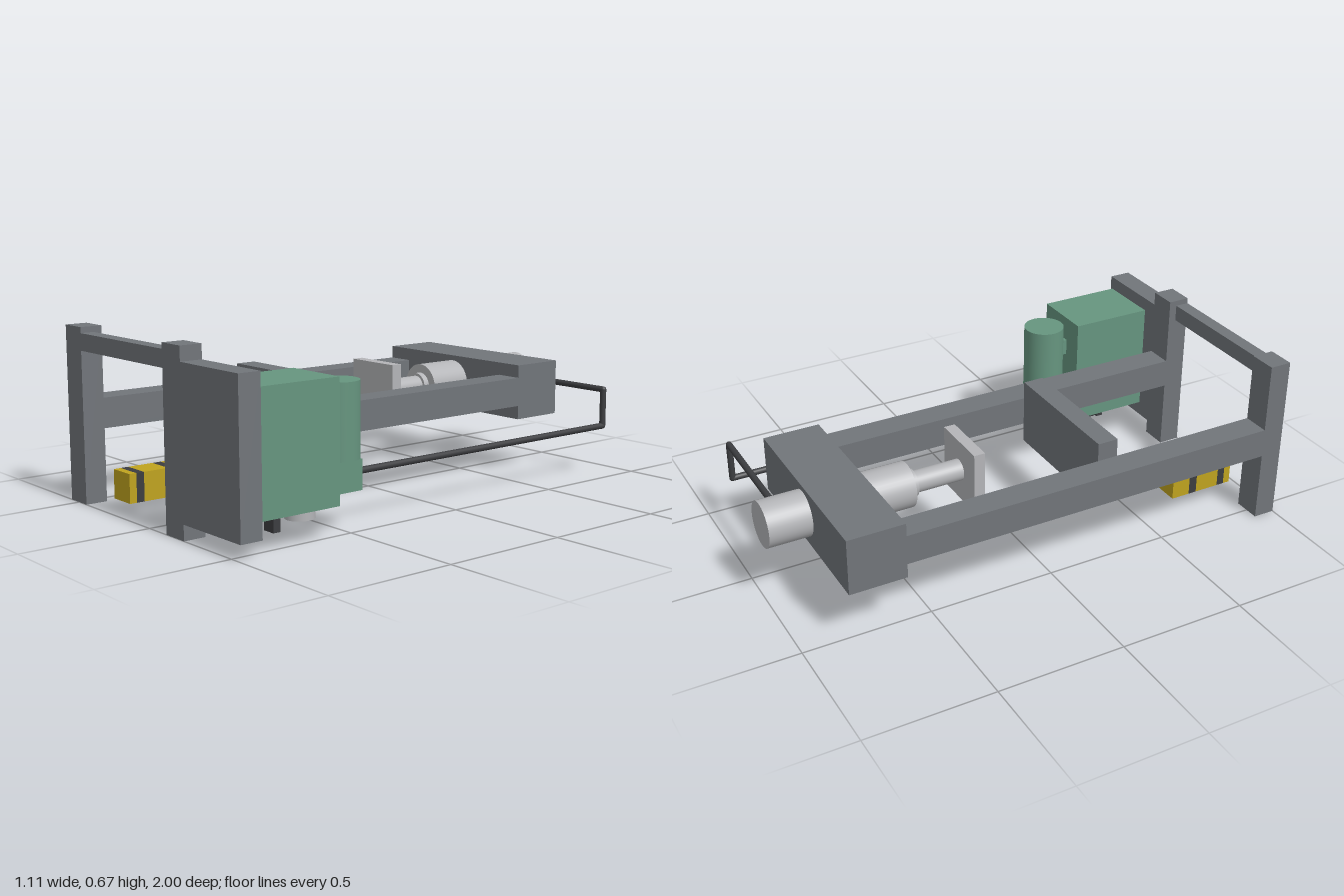
import * as THREE from 'three';

export function createModel() {
  const model = new THREE.Group();
  model.name = 'hydraulicPress';
  const mat = (name, color) => {
    const m = new THREE.MeshStandardMaterial({ color });
    m.name = name;
    return m;
  };
  const steel = mat('frame grey', 0x71757a);
  const green = mat('machine green', 0x66957f);
  const silver = mat('light metal', 0xb4b5b8);
  const dark = mat('dark rubber', 0x3c3d40);
  const yellow = mat('safety yellow', 0xbfa31f);

  const add = (name, geometry, material) => {
    const mesh = new THREE.Mesh(geometry, material);
    mesh.name = name;
    model.add(mesh);
    return mesh;
  };
  // Box given by its extents on each axis
  const box = (name, material, [x0, x1], [y0, y1], [z0, z1]) =>
    add(name, new THREE.BoxGeometry(x1 - x0, y1 - y0, z1 - z0), material)
      .position.set((x0 + x1) / 2, (y0 + y1) / 2, (z0 + z1) / 2);
  // Cylinder running between two points
  const rod = (name, material, radius, from, to, sides = 32) => {
    const a = new THREE.Vector3(...from), b = new THREE.Vector3(...to);
    const mesh = add(name, new THREE.CylinderGeometry(radius, radius, a.distanceTo(b), sides), material);
    mesh.position.copy(a).add(b).multiplyScalar(0.5);
    mesh.quaternion.setFromUnitVectors(new THREE.Vector3(0, 1, 0), b.sub(a).normalize());
  };

  // Frame: posts and long rails on both sides
  const sides = { right: [-0.555, -0.445], left: [0.11, 0.22] };
  for (const [side, span] of Object.entries(sides)) {
    box(side + 'FrontPost', steel, span, [0, 0.667], [0.913, 1]);
    box(side + 'Rail', steel, span, [0.28, 0.396], [-0.615, 0.913]);
  }
  const between = [-0.445, 0.11];
  box('frontTopBar', steel, between, [0.58, 0.645], [0.945, 1]);
  box('middleCrossPlate', steel, between, [0.203, 0.468], [0.225, 0.308]);
  box('rearBlock', steel, [-0.555, 0.22], [0.225, 0.447], [-0.835, -0.613]);
  box('mountingPlate', steel, [0.22, 0.553], [0.058, 0.613], [0.913, 1]);

  // Hydraulic cylinder and ram
  const ax = -0.167, ay = 0.338;
  const ram = (name, r, z0, z1) => rod(name, silver, r, [ax, ay, z0], [ax, ay, z1], 40);
  ram('cylinderBody', 0.088, -1, -0.428);
  ram('cylinderCollar', 0.053, -0.428, -0.403);
  ram('pistonRod', 0.042, -0.403, -0.21);
  box('pressPlate', silver, [-0.29, -0.046], [0.215, 0.46], [-0.212, -0.167]);

  // Oil tank with pump and motor
  box('oilTank', green, [0.285, 0.54], [0.116, 0.56], [0.58, 0.913]);
  rod('motor', green, 0.083, [0.413, 0.25, 0.492], [0.413, 0.527, 0.492], 40);
  box('pumpBlock', green, [0.346, 0.48], [0.138, 0.25], [0.432, 0.567]);
  box('motorBracket', green, [0.372, 0.454], [0.395, 0.46], [0.54, 0.585]);

  // Fittings under the tank
  rod('filterCap', silver, 0.053, [0.465, 0.08, 0.695], [0.465, 0.117, 0.695]);
  rod('drainPlug', dark, 0.022, [0.34, 0.088, 0.69], [0.34, 0.117, 0.69], 20);
  box('valveArm', dark, [0.4, 0.428], [0.09, 0.117], [0.76, 0.85]);
  box('valveHandle', dark, [0.387, 0.44], [0.036, 0.1], [0.757, 0.787]);

  // Pressure pipe from pump to cylinder
  const path = [[0.413, 0.19, 0.435], [0.413, 0.19, -0.912], [0.413, 0.341, -0.912], [-0.085, 0.341, -0.912]];
  for (let i = 0; i < path.length - 1; i++) {
    rod('pressurePipe', dark, 0.0125, path[i], path[i + 1], 16);
    if (i) add('pipeElbow', new THREE.SphereGeometry(0.0125, 16, 10), dark).position.set(...path[i]);
  }

  // Striped block beside the front post
  const cuts = [0.664, 0.743, 0.778, 0.882, 0.914, 0.943];
  for (let i = 0; i < cuts.length - 1; i++) {
    box(i % 2 ? 'blockStripe' : 'blockSection', i % 2 ? dark : yellow,
      [-0.335, -0.224], [0.036, 0.147], [cuts[i], cuts[i + 1]]);
  }
  return model;
}
